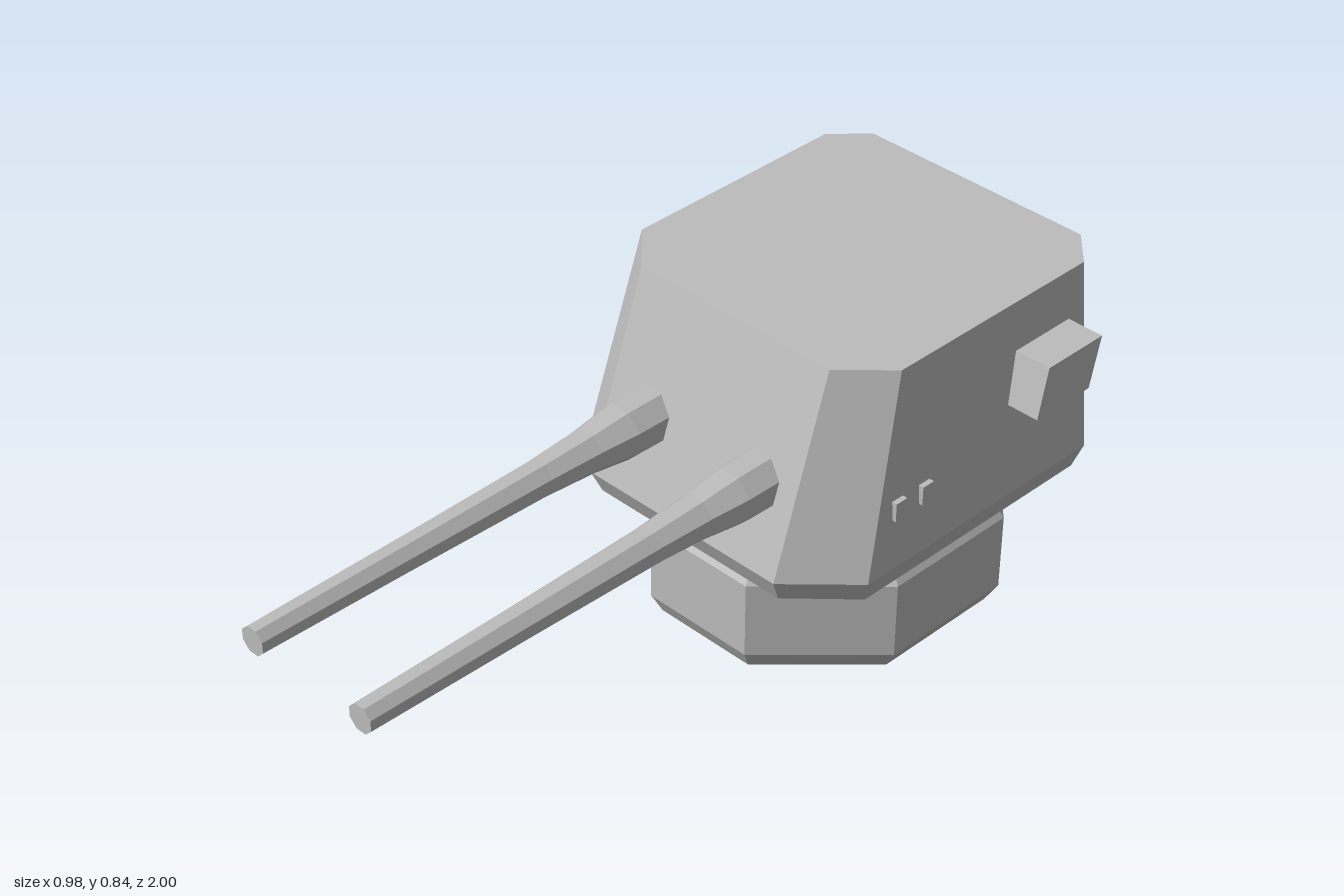
import * as THREE from 'three';

const steel = new THREE.MeshStandardMaterial({ color: 0xbcbcbc, flatShading: true });
steel.name = 'steel grey';

// Closed solid through horizontal rings, listed bottom to top.
// Each ring runs front, +x, back, -x.
function loft(rings) {
  const pos = [];
  const tri = (a, b, c) => pos.push(...a, ...b, ...c);
  const n = rings[0].length;
  for (let r = 0; r < rings.length - 1; r++) {
    const lo = rings[r], hi = rings[r + 1];
    for (let i = 0; i < n; i++) {
      const j = (i + 1) % n;
      tri(lo[i], lo[j], hi[j]);
      tri(lo[i], hi[j], hi[i]);
    }
  }
  const bottom = rings[0], top = rings[rings.length - 1];
  for (let i = 1; i < n - 1; i++) {
    tri(bottom[0], bottom[i + 1], bottom[i]);
    tri(top[0], top[i], top[i + 1]);
  }
  const geo = new THREE.BufferGeometry();
  geo.setAttribute('position', new THREE.Float32BufferAttribute(pos, 3));
  geo.computeVertexNormals();
  return geo;
}

// Chamfered rectangle: side half width, front and back flat half widths,
// then z of the front, the side's two ends and the back.
function chamfered(y, side, flatF, flatB, zF, zSideF, zSideB, zB) {
  return [
    [-flatF, y, zF], [flatF, y, zF], [side, y, zSideF], [side, y, zSideB],
    [flatB, y, zB], [-flatB, y, zB], [-side, y, zSideB], [-side, y, zSideF],
  ];
}

// Block between two x positions whose top may be shifted along z
function block(x0, x1, y0, y1, bottomZ, topZ) {
  const ring = (y, [f, b]) => [[x0, y, f], [x1, y, f], [x1, y, b], [x0, y, b]];
  return loft([ring(y0, bottomZ), ring(y1, topZ)]);
}

export function createModel() {
  const model = new THREE.Group();
  model.name = 'gunTurret';
  const add = (name, geo) => {
    const mesh = new THREE.Mesh(geo, steel);
    mesh.name = name;
    model.add(mesh);
    return mesh;
  };

  // Eight-sided pedestal with bevelled rims
  const c = -0.51;
  const octagon = (y, x, z) =>
    chamfered(y, x, x * 0.387, x * 0.387, c + z, c + z * 0.43, c - z * 0.43, c - z);
  add('pedestal', loft([
    octagon(0, 0.355, 0.39), octagon(0.05, 0.384, 0.415),
    octagon(0.245, 0.384, 0.415), octagon(0.302, 0.345, 0.375),
  ]));

  // Armoured housing, sloped at the front
  add('housing', loft([
    chamfered(0.30, 0.408, 0.273, 0.305, -0.065, -0.195, -0.89, -0.98),
    chamfered(0.36, 0.428, 0.284, 0.32, -0.038, -0.18, -0.905, -1.0),
    chamfered(0.836, 0.386, 0.279, 0.31, -0.197, -0.302, -0.895, -0.977),
  ]));

  // Tapered barrels: [z, half width across flats]
  const profile = [[-0.25, 0.065], [-0.02, 0.062], [0.08, 0.05], [0.22, 0.042], [0.6, 0.036], [1, 0.032]]
    .map(([z, r]) => new THREE.Vector2(r / Math.cos(Math.PI / 8), z));
  profile.push(new THREE.Vector2(0, 1));
  for (const s of [1, -1]) {
    const side = s > 0 ? 'left' : 'right';
    const barrel = add(side + 'Barrel',
      new THREE.LatheGeometry(profile, 8, Math.PI / 8).rotateX(Math.PI / 2));
    barrel.position.set(0.166 * s, 0.54, 0);

    // Rangefinder ear and two small sight blocks on each flank
    const span = (a, b) => (s > 0 ? [a, b] : [-b, -a]);
    add(side + 'Rangefinder',
      block(...span(0.37, 0.49), 0.592, 0.716, [-0.64, -0.815], [-0.667, -0.845]));
    for (const z of [-0.262, -0.347]) {
      add(side + 'Sight', block(...span(0.38, 0.426), 0.483, 0.53, [z, z - 0.034], [z, z - 0.034]));
    }
  }
  return model;
}
